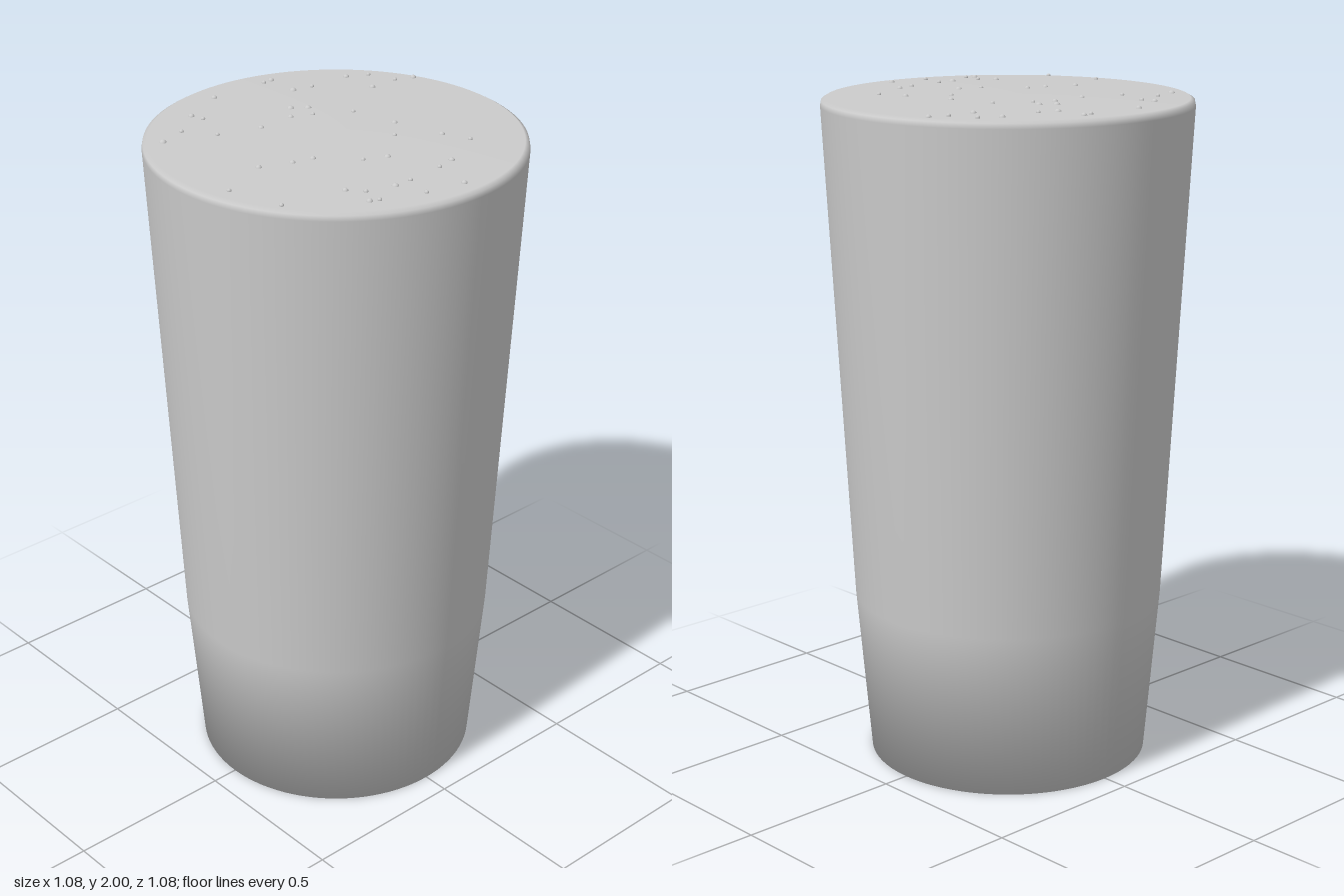
import * as THREE from 'three';

export function createModel() {
  const group = new THREE.Group();
  const material = new THREE.MeshStandardMaterial({ color: 0xcccccc });

  // Tapered tumbler, closed at the base and filled to a softly rounded brim
  const profile = [
    [0, 0], [0.42, 0], [0.463, 0.5], [0.54, 1.97], [0.537, 1.985], [0.525, 1.992], [0, 1.994],
  ].map(([r, y]) => new THREE.Vector2(r, y));
  const tumbler = new THREE.Mesh(new THREE.LatheGeometry(profile, 96), material);
  tumbler.name = 'tumbler';
  group.add(tumbler);

  // Small bubbles half sunk in the top surface: [x, z] grouped by radius
  const bubbleSets = [
    [0.011, [[-0.39, -0.28], [0.04, -0.24], [0.08, -0.21], [0, 0.21], [0.14, -0.345], [-0.12, 0.37]]],
    [0.009, [
      [-0.07, -0.45], [0.145, -0.45], [-0.21, -0.38], [0.33, -0.325], [0.33, -0.21], [0.475, -0.19],
      [-0.005, -0.187], [-0.12, -0.18], [-0.31, 0.035], [-0.22, 0.07], [-0.16, 0.085], [0.185, 0.04],
      [0.225, 0.19], [-0.24, 0.305], [0.115, 0.342], [-0.24, 0.40], [0.03, 0.477],
    ]],
    [0.0065, [
      [0.115, -0.447], [-0.2, -0.34], [0.2, -0.33], [-0.305, -0.305], [0.39, -0.293], [-0.245, -0.22],
      [0.42, -0.21], [0.055, -0.16], [0.155, -0.1], [-0.47, 0.105], [0.12, 0.11], [-0.065, 0.183],
      [-0.43, 0.27], [0.257, 0.27], [-0.205, 0.348], [-0.065, 0.37], [0.055, 0.357], [-0.215, 0.412],
      [-0.09, 0.458],
    ]],
  ];
  const bubbles = new THREE.Group();
  bubbles.name = 'bubbles';
  const sphere = new THREE.SphereGeometry(1, 12, 8);
  for (const [radius, places] of bubbleSets) {
    for (const [x, z] of places) {
      const bubble = new THREE.Mesh(sphere, material);
      bubble.name = 'bubble';
      bubble.scale.setScalar(radius);
      bubble.position.set(x, 2 - radius, z);
      bubbles.add(bubble);
    }
  }
  group.add(bubbles);

  return group;
}
